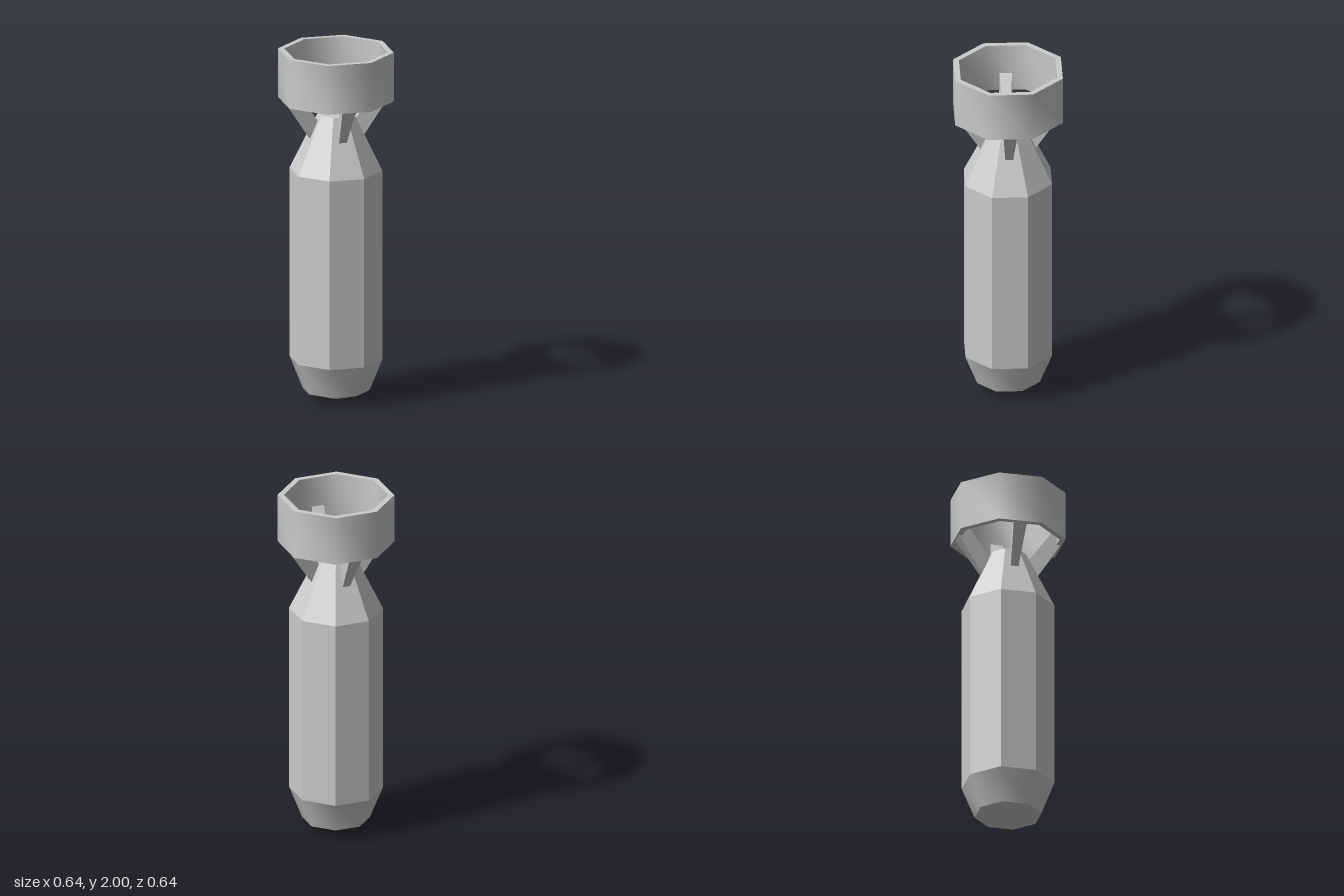
import * as THREE from 'three';
import { toCreasedNormals } from 'three/addons/utils/BufferGeometryUtils.js';

const SIDES = 8;
const material = new THREE.MeshStandardMaterial({ color: 0xcccccc });
const flatMaterial = new THREE.MeshStandardMaterial({ color: 0xcccccc, flatShading: true });

// Eight-sided turned part from [radius, y] points, listed bottom to top on the outside
function turned(name, points, crease) {
  const profile = points.map(([r, y]) => new THREE.Vector2(r, y));
  const lathe = new THREE.LatheGeometry(profile, SIDES);
  const mesh = crease
    ? new THREE.Mesh(toCreasedNormals(lathe, crease), material)
    : new THREE.Mesh(lathe, flatMaterial);
  mesh.name = name;
  return mesh;
}

// Sloping strut along +x: a box whose corners follow a side profile and widen outwards
function strutGeometry() {
  const geometry = new THREE.BoxGeometry(1, 1, 1);
  const pos = geometry.attributes.position;
  for (let i = 0; i < pos.count; i++) {
    const outer = pos.getX(i) > 0;
    const upper = pos.getY(i) > 0;
    const [r, y] = outer
      ? (upper ? [0.272, 1.835] : [0.29, 1.722])
      : (upper ? [0.09, 1.585] : [0.15, 1.505]);
    const width = 0.03 + (r - 0.095) * 0.233;
    pos.setXYZ(i, r, y, Math.sign(pos.getZ(i)) * width / 2);
  }
  return geometry;
}

export function createModel() {
  const model = new THREE.Group();
  model.name = 'finnedBomb';

  // Blunt nose at the bottom, smooth around its sides
  model.add(turned('nose', [[0, 0], [0.187, 0.06], [0.259, 0.24]], 0.76));

  // Straight faceted body
  model.add(turned('body', [[0.259, 0.24], [0.259, 1.32]]));

  // Tapering tail with a flat cap
  model.add(turned('tailCone', [[0.259, 1.32], [0.102, 1.64], [0, 1.64]]));

  // Hollow tail ring, smooth walls and sharp rims
  model.add(turned('tailRing', [
    [0.288, 1.72], [0.322, 1.72], [0.322, 2], [0.288, 2], [0.288, 1.72],
  ], 0.9));

  // Four struts joining the tail to the ring, centred on the facets
  const struts = new THREE.Group();
  struts.name = 'struts';
  const geometry = strutGeometry();
  for (let i = 0; i < 4; i++) {
    const strut = new THREE.Mesh(geometry, flatMaterial);
    strut.name = 'strut';
    strut.rotation.y = -Math.PI / 8 - i * Math.PI / 2;
    struts.add(strut);
  }
  model.add(struts);

  return model;
}
